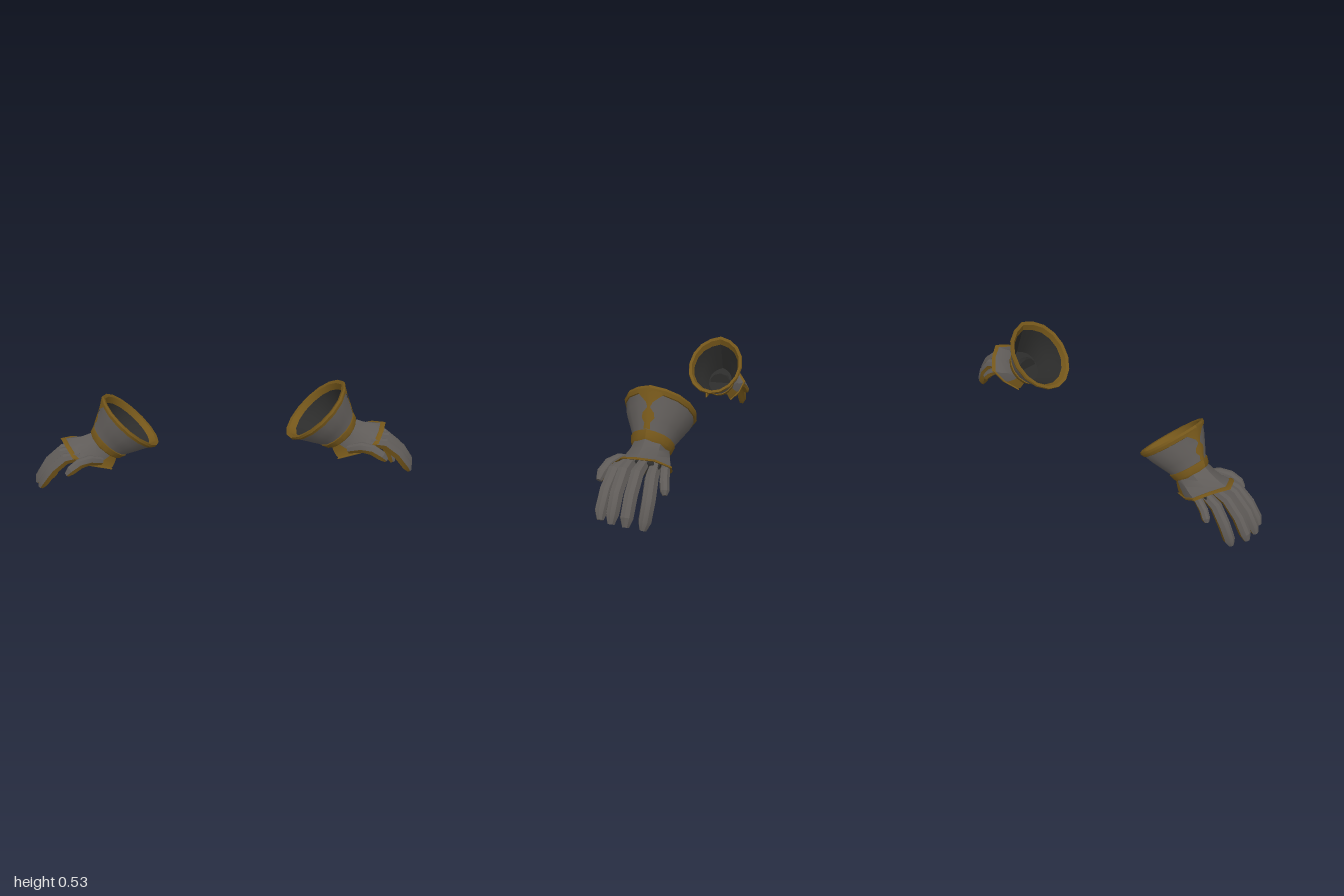
import * as THREE from 'three';
import { toCreasedNormals } from 'three/addons/utils/BufferGeometryUtils.js';

const V = (x, y, z) => new THREE.Vector3(x, y, z);
const flat = (name, color) =>
  Object.assign(new THREE.MeshStandardMaterial({ color, side: THREE.DoubleSide }), { name });

// Skin between rings of points; pick(i, j) gives the material index of each quad.
function loft(name, rings, mats, pick = () => 0, { closed = true, caps = [], crease = 0.6 } = {}) {
  const n = rings[0].length, pos = [], faces = mats.map(() => []);
  rings.forEach(r => r.forEach(p => pos.push(p.x, p.y, p.z)));
  for (let i = 0; i < rings.length - 1; i++) {
    for (let j = 0; j < (closed ? n : n - 1); j++) {
      const k = (j + 1) % n;
      const a = i * n + j, b = i * n + k, c = (i + 1) * n + k, d = (i + 1) * n + j;
      faces[pick(i, j)].push(a, b, c, a, c, d);
    }
  }
  for (const end of caps) {
    const s = end ? (rings.length - 1) * n : 0;
    for (let j = 1; j < n - 1; j++) {
      faces[0].push(s, end ? s + j : s + j + 1, end ? s + j + 1 : s + j);
    }
  }
  let g = new THREE.BufferGeometry();
  g.setAttribute('position', new THREE.Float32BufferAttribute(pos, 3));
  g.setIndex(faces.flat());
  let start = 0;
  faces.forEach((f, m) => { g.addGroup(start, f.length, m); start += f.length; });
  g = toCreasedNormals(g, crease);
  g.setIndex([...Array(g.attributes.position.count).keys()]);
  const mesh = new THREE.Mesh(g, mats.length > 1 ? mats : mats[0]);
  mesh.name = name;
  return mesh;
}

// Slanted frame of the cuff: s runs from the opening to the wrist, angle 0 is the top ridge.
const CENTRE = V(0.446, 0.385, -0.013), AXIS = V(0.715, -0.7, 0), UP = V(0.7, 0.715, 0);
const PROFILE = [[-0.01, 0.198, 0.163], [0, 0.198, 0.163], [0.07, 0.159, 0.145], [0.124, 0.135, 0.116],
  [0.17, 0.112, 0.093], [0.205, 0.098, 0.083], [0.24, 0.096, 0.08]];
function cuffPoint(s, angle, offset = 0) {
  let i = 0;
  while (i < PROFILE.length - 2 && s > PROFILE[i + 1][0]) i++;
  const a = PROFILE[i], b = PROFILE[i + 1], t = (s - a[0]) / (b[0] - a[0]);
  const ridge = 0.007 * Math.max(0, 1 - Math.abs(angle) / 0.3);
  const ru = THREE.MathUtils.lerp(a[1], b[1], t) + offset + ridge;
  const rz = THREE.MathUtils.lerp(a[2], b[2], t) + offset;
  return CENTRE.clone().addScaledVector(AXIS, s)
    .addScaledVector(UP, ru * Math.cos(angle)).add(V(0, 0, rz * Math.sin(angle)));
}
const cuffRing = ([s, offset], n = 16) =>
  Array.from({ length: n }, (_, j) => cuffPoint(s, j * 2 * Math.PI / n, offset));

// Finger: steel above, gold below.
const SECTION = [[1, 0], [0.65, 0.8], [0, 1], [-0.65, 0.8], [-1, 0], [-0.6, -0.85], [0.6, -0.85]];
function finger(name, path, size, mats) {
  const pts = path.map(p => V(...p));
  const sizes = [0.85, 1, 1, 0.95, 0.5];
  const rings = pts.map((p, i) => {
    const dir = pts[Math.min(i + 1, pts.length - 1)].clone().sub(pts[Math.max(i - 1, 0)]).normalize();
    const side = V(0, 0, -1).addScaledVector(dir, dir.z).normalize();
    const up = dir.clone().cross(side);
    const r = size * sizes[i];
    return SECTION.map(([w, h]) => p.clone().addScaledVector(side, w * r).addScaledVector(up, h * r));
  });
  return loft(name, rings, mats, (i, j) => (j < 4 ? 0 : 1), { caps: [0, 1], crease: 0.45 });
}

function gauntlet(steel, gold, lining) {
  const g = new THREE.Group();

  // Flared cuff with a rolled rim and dark inside
  g.add(loft('cuff', [[0.02, 0], [0.07, 0], [0.124, 0], [0.17, 0], [0.205, 0]].map(r => cuffRing(r)), [steel]));
  g.add(loft('cuffRim', [[0.035, -0.018], [0.004, -0.016], [0, 0], [0.012, 0.007], [0.028, 0.005], [0.03, -0.002]]
    .map(r => cuffRing(r)), [gold]));
  g.add(loft('cuffLining', [[0.02, -0.014], [0.07, -0.012], [0.124, -0.012], [0.2, -0.012]]
    .map(r => cuffRing(r)), [lining], undefined, { caps: [1] }));
  g.add(loft('wristBand', [[0.17, -0.002], [0.172, 0.006], [0.205, 0.008], [0.218, -0.004]]
    .map(r => cuffRing(r)), [gold]));

  // Gold inlays along the top ridge: [s, half angle]
  const inlays = {
    rimInlay: [[0.02, 0.42], [0.04, 0.28], [0.065, 0.1], [0.09, 0.03]],
    ridgeInlay: [[0.085, 0.04], [0.105, 0.2], [0.125, 0.24], [0.145, 0.12], [0.17, 0.16]],
  };
  for (const [name, rows] of Object.entries(inlays)) {
    g.add(loft(name, rows.map(([s, h]) => [-1, -0.5, 0, 0.5, 1].map(k => cuffPoint(s, k * h, 0.005))),
      [gold], undefined, { closed: false }));
  }

  // Back-of-hand plate: an arch flaring from the wrist to a pointed front edge
  const angles = [-2.45, -1.95, -1.55, -0.8, 0, 0.8, 1.55, 1.95, 2.45];
  const wrist = angles.map(a => cuffPoint(0.205, a));
  const front = [[0.585, 0.128, -0.085], [0.66, 0.165, -0.125], [0.725, 0.215, -0.145], [0.785, 0.262, -0.09],
    [0.835, 0.283, -0.025], [0.805, 0.268, 0.045], [0.767, 0.225, 0.1], [0.68, 0.175, 0.1], [0.575, 0.135, 0.075]]
    .map(p => V(...p));
  const plateRow = (t, grow = 1) => {
    const row = wrist.map((p, j) => p.clone().lerp(front[j], t).add(V(0, -0.012 * Math.sin(Math.PI * t), 0)));
    const mid = row[2].clone().add(row[6]).multiplyScalar(0.5);
    return row.map(p => p.sub(mid).multiplyScalar(grow).add(mid));
  };
  const open = { closed: false };
  g.add(loft('handPlate', [0, 0.3, 0.6, 0.88].map(t => plateRow(t)), [steel, gold],
    (i, j) => (j === 0 || j === 7 ? 1 : 0), open));
  g.add(loft('handPlateTrim', [plateRow(0.84, 1), plateRow(0.86, 1.05), plateRow(1, 1.03), plateRow(0.99, 0.95)],
    [gold], undefined, open));
  g.add(loft('handPlateLining', [0, 0.3, 0.6, 0.96].map(t => plateRow(t, 0.93)), [lining], undefined, open));

  // Dark glove filling the palm
  const palm = [[0.58, 0.235, 0.06, 0.065], [0.67, 0.225, 0.045, 0.085], [0.76, 0.215, 0.03, 0.095]];
  g.add(loft('palm', palm.map(([x, y, h, w]) => Array.from({ length: 10 }, (_, j) => {
    const a = j * Math.PI / 5;
    return V(x, y + h * Math.cos(a), -0.013 + w * Math.sin(a));
  })), [lining], undefined, { caps: [0, 1] }));

  // Fingers
  const mats = [steel, gold];
  const fingers = {
    indexFinger: [[0.73, 0.22, 0.065], [0.81, 0.21, 0.076], [0.88, 0.155, 0.085], [0.935, 0.085, 0.088], [0.955, 0.052, 0.085]],
    middleFinger: [[0.74, 0.235, 0.025], [0.83, 0.22, 0.027], [0.91, 0.155, 0.03], [0.958, 0.085, 0.03], [0.976, 0.05, 0.03]],
    ringFinger: [[0.74, 0.23, -0.03], [0.83, 0.215, -0.03], [0.905, 0.15, -0.03], [0.955, 0.075, -0.03], [0.97, 0.042, -0.03]],
    outerFinger: [[0.73, 0.215, -0.075], [0.81, 0.195, -0.088], [0.87, 0.125, -0.095], [0.908, 0.045, -0.09], [0.92, 0.012, -0.085]],
  };
  for (const [name, path] of Object.entries(fingers)) g.add(finger(name, path, 0.03, mats));
  g.add(finger('sideGuard', [[0.68, 0.205, -0.105], [0.73, 0.2, -0.12], [0.77, 0.172, -0.13], [0.795, 0.14, -0.14],
    [0.805, 0.124, -0.143]], 0.022, mats));
  g.add(finger('thumb', [[0.62, 0.185, 0.07], [0.68, 0.21, 0.105], [0.73, 0.205, 0.13], [0.775, 0.178, 0.148],
    [0.8, 0.155, 0.153]], 0.027, mats));
  return g;
}

// Mirrored copy with the face order turned over
function mirrored(source, matrix) {
  const g = new THREE.Group();
  for (const part of source.children) {
    const geo = part.geometry.clone().applyMatrix4(matrix), ix = geo.index;
    for (let i = 0; i < ix.count; i += 3) {
      const b = ix.getX(i + 1);
      ix.setX(i + 1, ix.getX(i + 2));
      ix.setX(i + 2, b);
    }
    const mesh = new THREE.Mesh(geo, part.material);
    mesh.name = part.name;
    g.add(mesh);
  }
  return g;
}

export function createModel() {
  const steel = flat('steel', 0x5f5b58), gold = flat('darkGold', 0x74561a), lining = flat('darkLining', 0x2c2c2b);
  const model = new THREE.Group();
  model.name = 'gauntlets';
  const left = gauntlet(steel, gold, lining);
  left.name = 'leftGauntlet';
  // The right one is slightly smaller
  const right = mirrored(left, new THREE.Matrix4().makeTranslation(-0.072, 0, -0.015)
    .scale(V(-0.937, 0.937, 0.937)));
  right.name = 'rightGauntlet';
  model.add(left, right);
  return model;
}
